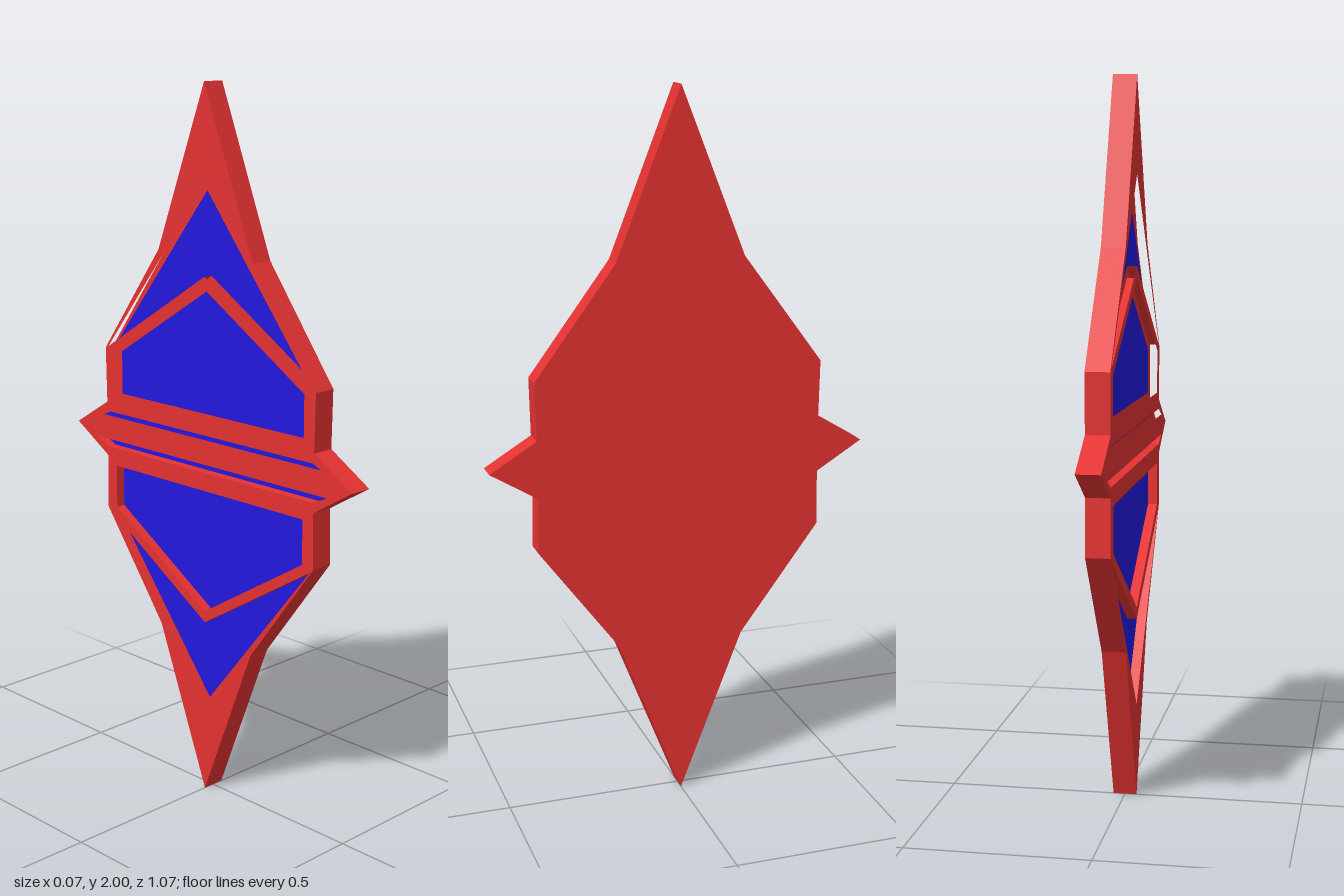
import * as THREE from 'three';

const HALF = 0.033;   // half thickness of the plate
const FLOOR = 0.005;  // recess floor, measured towards -x

// Profiles are drawn in (z, y - 1), then turned so that extrusion runs towards -x
const toPoints = (list, flip = 1) => list.map(([z, y]) => new THREE.Vector2(z, y * flip));

// Mirror a half profile (z >= 0, top to bottom) across z = 0
function mirrored(half) {
  const other = half.filter(([z]) => z > 0).reverse().map(([z, y]) => [-z, y]);
  return [...half, ...other];
}

export function createModel() {
  const group = new THREE.Group();
  group.name = 'starPlate';
  const red = new THREE.MeshStandardMaterial({ color: 0xe53232, flatShading: true });
  const blue = new THREE.MeshStandardMaterial({ color: 0x2218dc, flatShading: true });

  const outline = mirrored([
    [0, 1], [0.18, 0.545], [0.407, 0.24], [0.404, 0.08], [0.535, 0],
    [0.404, -0.08], [0.407, -0.235], [0.18, -0.54], [0, -1],
  ]);

  // Recess openings of the upper half: outer chevron, window, narrow slot
  const openings = [
    mirrored([[0, 0.736], [0.395, 0.245], [0, 0.49]]),
    mirrored([[0, 0.457], [0.367, 0.23], [0.367, 0.105]]),
    mirrored([[0.4, 0.053], [0.45, 0.03]]),
  ];

  const add = (name, geometry, material, offset) => {
    const mesh = new THREE.Mesh(geometry, material);
    mesh.name = name;
    mesh.rotation.y = -Math.PI / 2;
    mesh.position.set(-offset, 1, 0);
    group.add(mesh);
  };
  const extrude = (shape, depth) =>
    new THREE.ExtrudeGeometry(shape, { depth, bevelEnabled: false });

  // Solid backing
  add('backPlate', extrude(new THREE.Shape(toPoints(outline)), HALF + FLOOR), red, -HALF);

  // Raised frame with the recesses cut out, and coloured recess floors
  const frame = new THREE.Shape(toPoints(outline));
  for (const flip of [1, -1]) {
    for (const opening of openings) {
      const points = toPoints(opening, flip);
      frame.holes.push(new THREE.Path(points));
      add('recessPanel', new THREE.ShapeGeometry(new THREE.Shape(points)), blue, FLOOR + 0.001);
    }
  }
  add('frontFrame', extrude(frame, HALF - FLOOR), red, FLOOR);

  return group;
}
